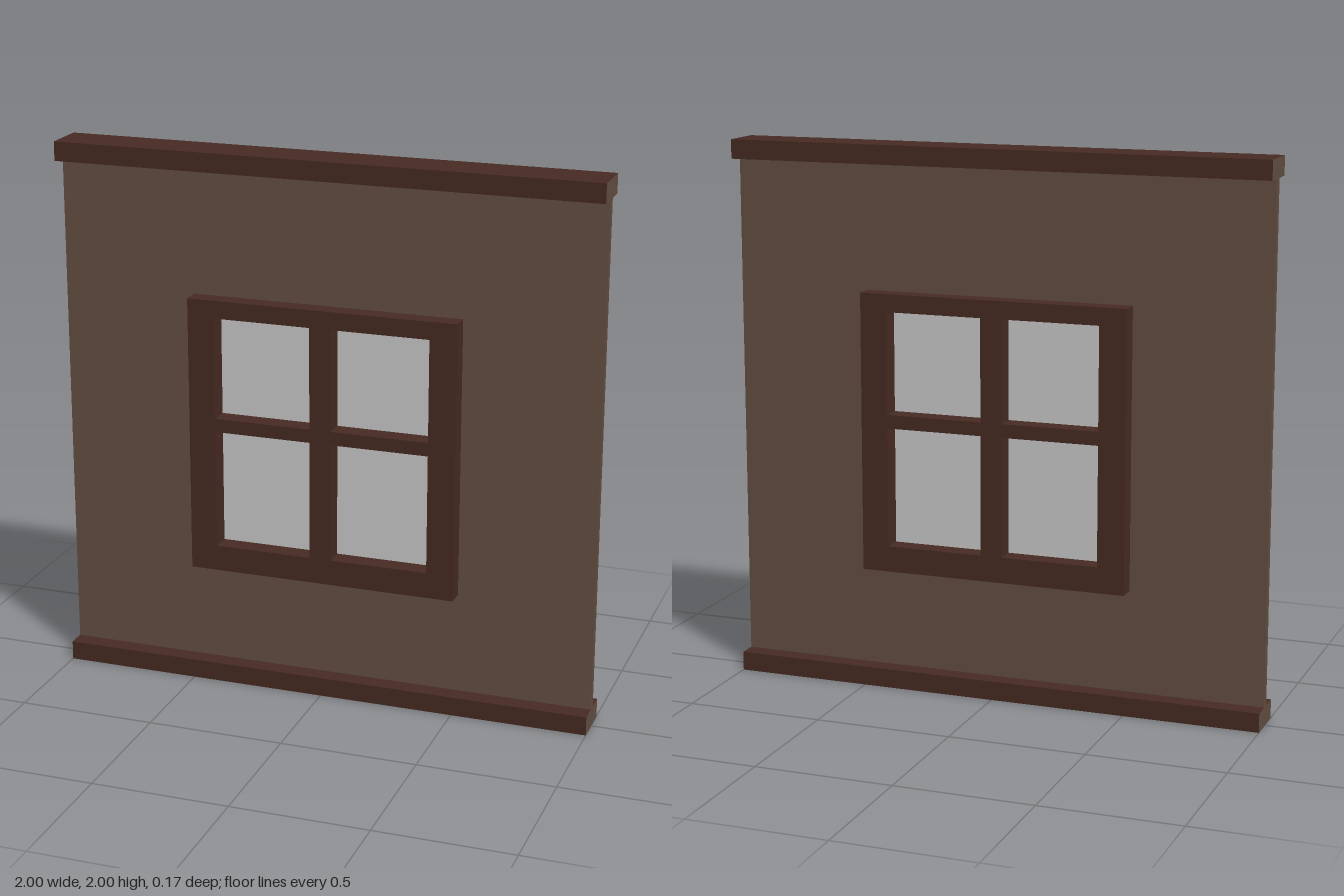
import * as THREE from 'three';

const W = 2, DEPTH = 0.165, WALL_T = 0.03, TRIM_H = 0.07;
const FRAME = [-0.5, 0.445, 0.5, 1.47];

// Rectangle traced as a shape or a hole: [x0, y0, x1, y1]
function rect([x0, y0, x1, y1], Type = THREE.Path) {
  const p = new Type();
  p.moveTo(x0, y0);
  p.lineTo(x1, y0);
  p.lineTo(x1, y1);
  p.lineTo(x0, y1);
  p.closePath();
  return p;
}

// Flat slab with rectangular openings, centred on z = 0
function slab(outer, holes, depth) {
  const shape = rect(outer, THREE.Shape);
  shape.holes = holes.map((h) => rect(h));
  const geo = new THREE.ExtrudeGeometry(shape, { depth, bevelEnabled: false });
  return geo.translate(0, 0, -depth / 2);
}

export function createModel() {
  const mat = (name, color) => {
    const m = new THREE.MeshStandardMaterial({ color, side: THREE.DoubleSide });
    m.name = name;
    return m;
  };
  const plaster = mat('wallBrown', 0x644f41);
  const wood = mat('darkWood', 0x472b22);
  const pane = mat('paleGlass', 0xcccccc);

  const group = new THREE.Group();
  group.name = 'windowWall';
  const add = (name, geo, material, y = 0) => {
    const mesh = new THREE.Mesh(geo, material);
    mesh.name = name;
    mesh.position.y = y;
    group.add(mesh);
  };

  // Wall panel with an opening behind the window frame
  add('wallPanel', slab([-1, TRIM_H, 1, 2 - TRIM_H], [[-0.45, 0.5, 0.45, 1.43]], WALL_T), plaster);

  // Window frame with crossing bars and four openings
  const openings = [];
  for (const [x0, x1] of [[-0.4, -0.04], [0.04, 0.4]])
    for (const [y0, y1] of [[0.54, 0.98], [1.03, 1.405]]) openings.push([x0, y0, x1, y1]);
  add('windowFrame', slab(FRAME, openings, DEPTH), wood);

  // One thin pane in each opening
  for (const [x0, y0, x1, y1] of openings) {
    const geo = new THREE.BoxGeometry(x1 - x0, y1 - y0, 0.02);
    geo.translate((x0 + x1) / 2, (y0 + y1) / 2, 0);
    add('windowPane', geo, pane);
  }

  // Top and bottom rails, wooden with wall-coloured ends
  const skins = [plaster, plaster, wood, wood, wood, wood];
  add('topRail', new THREE.BoxGeometry(W, TRIM_H, DEPTH), skins, 2 - TRIM_H / 2);

  // The bottom rail is hollow and open underneath
  const hollow = new THREE.BoxGeometry(W, TRIM_H, DEPTH);
  const index = Array.from(hollow.index.array);
  index.splice(18, 6);
  hollow.setIndex(index);
  hollow.clearGroups();
  hollow.addGroup(0, 12, 0);
  hollow.addGroup(12, 18, 1);
  add('bottomRail', hollow, [plaster, wood], TRIM_H / 2);

  return group;
}
